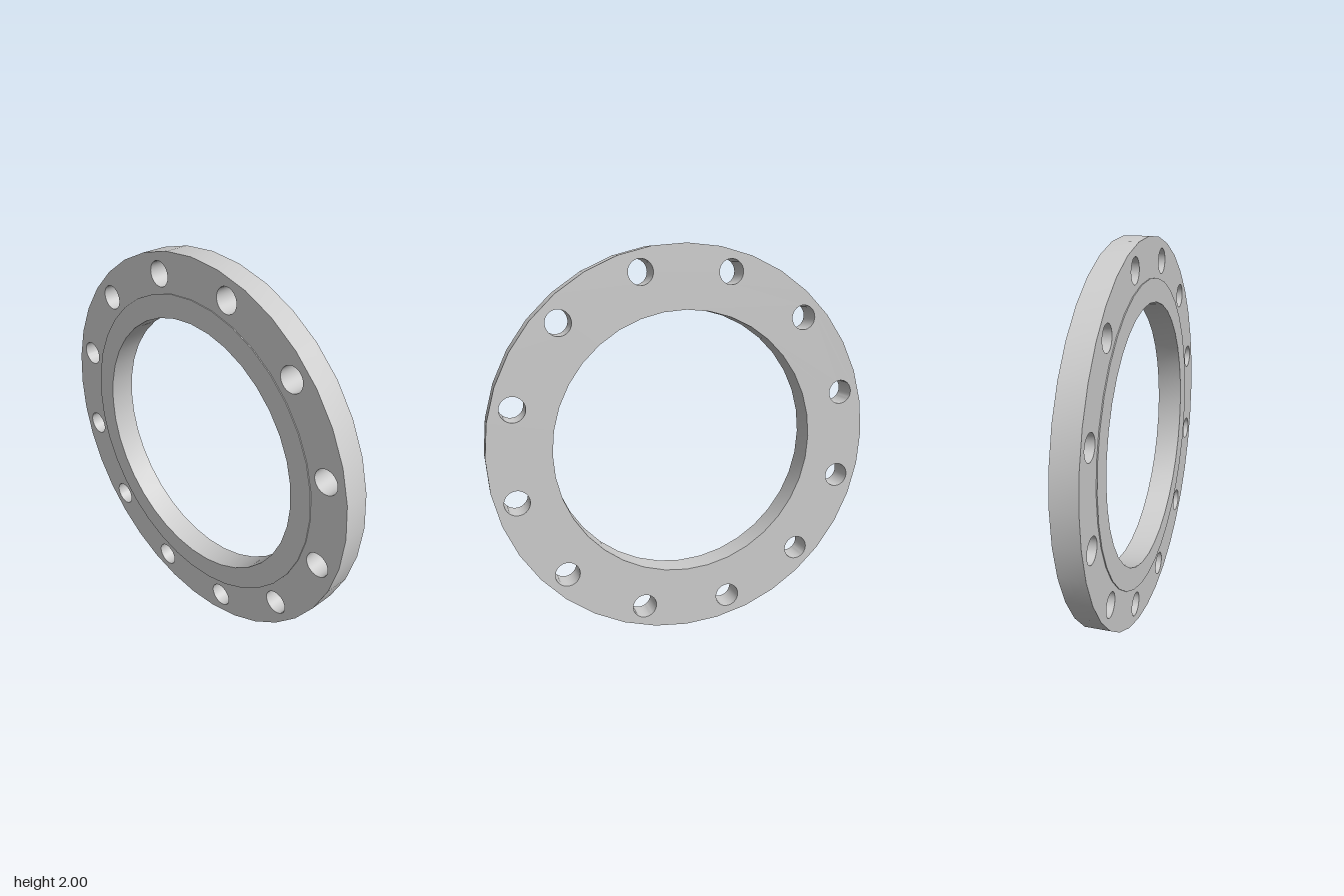
import * as THREE from 'three';
import { toCreasedNormals } from 'three/addons/utils/BufferGeometryUtils.js';

const BORE = 0.682, OUTER = 1, FACE = 0.8;
const BOLT_CIRCLE = 0.893, BOLT_HOLE = 0.063, BOLTS = 12;
const BACK = -0.067, STEP = -0.062, FRONT = 0.067;

const circle = (path, x, y, r) => path.absarc(x, y, r, 0, Math.PI * 2, false);

// Ring with optional bolt holes, lying along the x axis from x0 to x1
function ring(name, radius, x0, x1, bolts, material) {
  const shape = circle(new THREE.Shape(), 0, 0, radius);
  shape.holes.push(circle(new THREE.Path(), 0, 0, BORE));
  for (let i = 0; i < bolts; i++) {
    const a = ((i + 0.5) / bolts) * Math.PI * 2;
    shape.holes.push(circle(new THREE.Path(), Math.cos(a) * BOLT_CIRCLE, Math.sin(a) * BOLT_CIRCLE, BOLT_HOLE));
  }
  // 18 curve segments give 36 sides to each full circle
  const geometry = new THREE.ExtrudeGeometry(shape, { depth: x1 - x0, bevelEnabled: false, curveSegments: 18 });
  geometry.translate(0, 0, x0).rotateY(Math.PI / 2);
  const mesh = new THREE.Mesh(toCreasedNormals(geometry, 0.6), material);
  mesh.name = name;
  mesh.position.y = OUTER;
  return mesh;
}

export function createModel() {
  const group = new THREE.Group();
  group.name = 'flange';
  const material = new THREE.MeshStandardMaterial({ color: 0xcccccc });
  // Drilled flange plate
  group.add(ring('flangePlate', OUTER, STEP, FRONT, BOLTS, material));
  // Shallow raised sealing face on the -x side
  group.add(ring('raisedFace', FACE, BACK, STEP, 0, material));
  return group;
}
